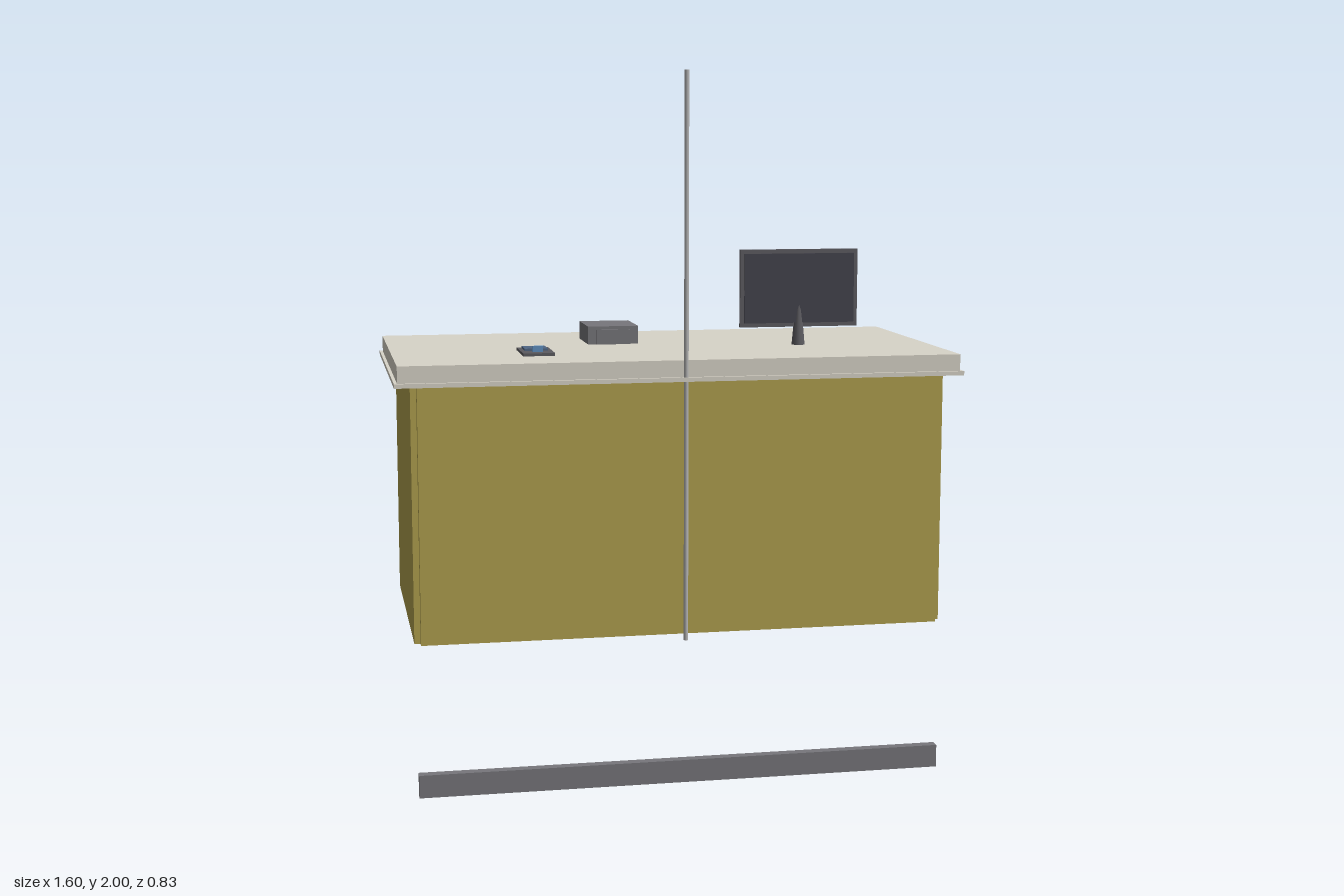
import * as THREE from 'three';

const material = (color, flat = false) => new THREE.MeshStandardMaterial({ color, flatShading: flat });

export function createModel() {
  const model = new THREE.Group();
  const stone = material(0xd8d4c8);
  const panel = material(0xb0a04e);
  const wood = material(0x8c7358);
  const grey = material(0x77767b);
  const dark = material(0x5c5b60);
  const screen = material(0x43424c);
  const blue = material(0x5f8fc0);

  // Box given by its [min, max] range on each axis
  function box(name, mat, [x0, x1], [y0, y1], [z0, z1], parent = model) {
    const mesh = new THREE.Mesh(new THREE.BoxGeometry(x1 - x0, y1 - y0, z1 - z0), mat);
    mesh.position.set((x0 + x1) / 2, (y0 + y1) / 2, (z0 + z1) / 2);
    mesh.name = name;
    parent.add(mesh);
    return mesh;
  }

  function cylinder(name, mat, rTop, rBottom, [y0, y1], x, z, sides, parent = model) {
    const mesh = new THREE.Mesh(new THREE.CylinderGeometry(rTop, rBottom, y1 - y0, sides), mat);
    mesh.position.set(x, (y0 + y1) / 2, z);
    mesh.name = name;
    parent.add(mesh);
    return mesh;
  }

  function group(name) {
    const g = new THREE.Group();
    g.name = name;
    model.add(g);
    return g;
  }

  // Cabinet: four panels with notched corners, open at the bottom
  const cabinet = group('cabinet');
  const height = [0.435, 1.155];
  box('frontPanel', panel, [-0.738, 0.738], height, [0.36, 0.387], cabinet);
  box('backPanel', wood, [-0.738, 0.738], height, [-0.377, -0.355], cabinet);
  for (const side of [-1, 1]) {
    const xs = [0.735 * side, 0.755 * side].sort((a, b) => a - b);
    box(side > 0 ? 'leftPanel' : 'rightPanel', panel, xs, height, [-0.357, 0.362], cabinet);
  }
  box('cabinetFloor', wood, [-0.735, 0.735], [0.64, 0.66], [-0.355, 0.36], cabinet);

  // Countertop: slab resting on a slightly wider thin ledge
  const counter = group('countertop');
  box('ledge', stone, [-0.8, 0.8], [1.153, 1.165], [-0.42, 0.415], counter);
  box('slab', stone, [-0.791, 0.791], [1.165, 1.212], [-0.408, 0.405], counter);

  // Kick plate on the ground below the front
  box('kickPlate', grey, [-0.75, 0.75], [0, 0.065], [0.36, 0.388]);

  // Thin pole at the middle of the front edge
  cylinder('pole', material(0xb4b4b4), 0.0065, 0.0065, [0.422, 2], 0, 0.408, 12);

  // Monitor on a tapered stand
  const monitor = group('monitor');
  box('monitorFrame', dark, [0.23, 0.585], [1.265, 1.493], [0.056, 0.067], monitor);
  box('monitorScreen', screen, [0.242, 0.573], [1.277, 1.481], [0.067, 0.073], monitor);
  cylinder('monitorStand', dark, 0.009, 0.02, [1.212, 1.33], 0.407, 0.064, 12, monitor);

  // Receipt printer with a raised front cover
  const printer = group('printer');
  box('printerBody', grey, [-0.205, -0.055], [1.168, 1.265], [-0.218, -0.044], printer);
  box('printerFront', grey, [-0.18, -0.08], [1.2, 1.255], [-0.044, -0.035], printer);

  // Card terminal with a display, keys and an upright card
  const terminal = group('cardTerminal');
  box('terminalBody', dark, [-0.43, -0.34], [1.211, 1.22], [0.068, 0.232], terminal);
  box('terminalDisplay', material(0x4f6684), [-0.418, -0.352], [1.22, 1.226], [0.09, 0.164], terminal);
  box('card', blue, [-0.4, -0.37], [1.22, 1.237], [0.19, 0.195], terminal);

  return model;
}
